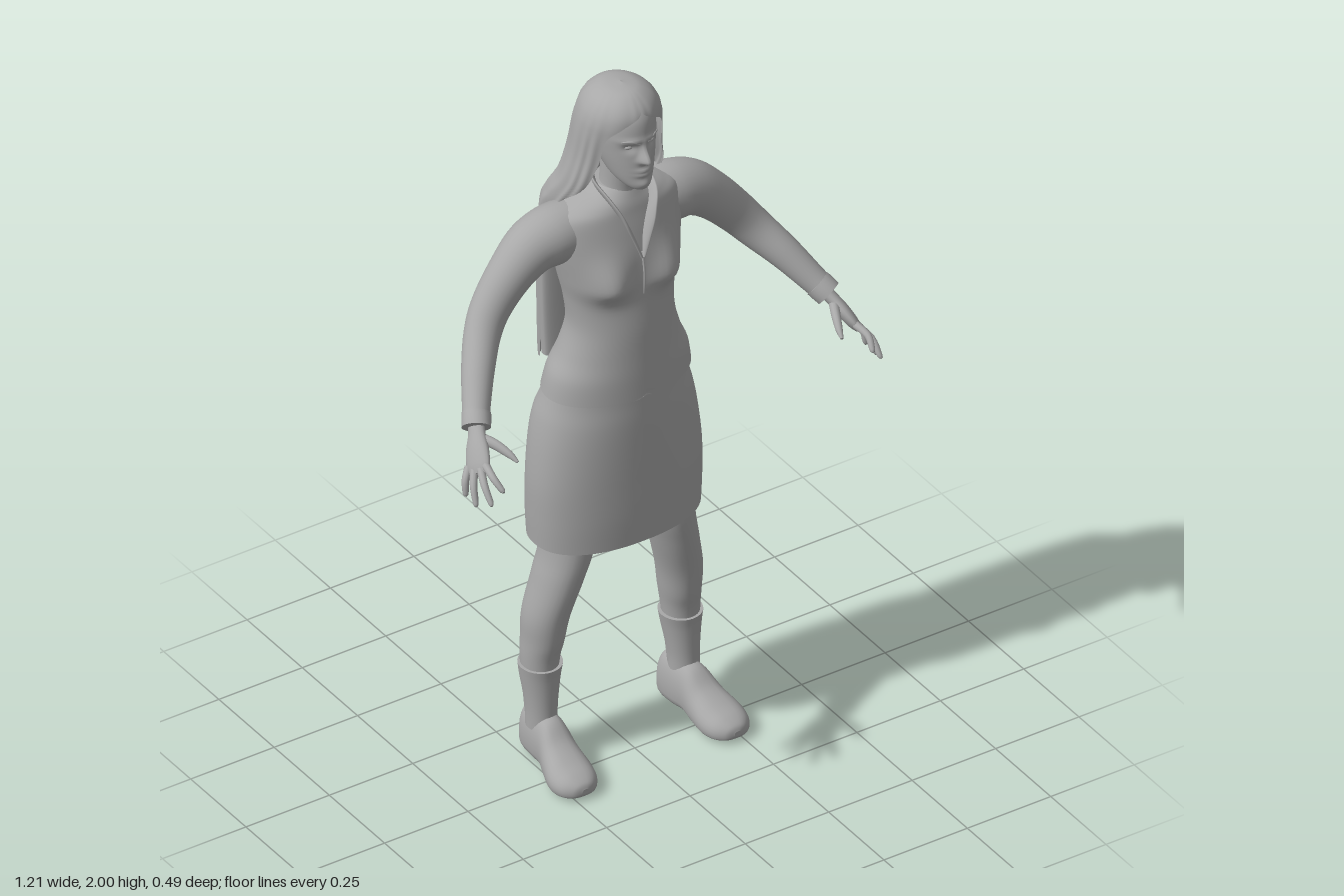
import * as THREE from 'three';

const V = (x, y, z) => new THREE.Vector3(x, y, z);
const clay = new THREE.MeshStandardMaterial({ color: 0xa8a8a8, side: THREE.DoubleSide });
clay.name = 'grey';

// Catmull-Rom interpolation of number rows, k steps per span
function smooth(rows, k = 6) {
  const out = [];
  const at = i => rows[Math.min(rows.length - 1, Math.max(0, i))];
  for (let i = 0; i < rows.length - 1; i++) {
    for (let s = 0; s < k; s++) {
      const t = s / k;
      out.push(rows[i].map((b, c) => {
        const a = at(i - 1)[c], d = at(i + 1)[c], e = at(i + 2)[c];
        return b + 0.5 * t * (d - a + t * (2 * a - 5 * b + 4 * d - e + t * (3 * (b - d) + e - a)));
      }));
    }
  }
  out.push(rows[rows.length - 1]);
  return out;
}

// Skin over rings of points; rings run counter-clockwise about the sweep direction
function skin(rings, closed = true, caps = closed) {
  const n = rings[0].length, pos = [], idx = [];
  rings.forEach(r => r.forEach(p => pos.push(p.x, p.y, p.z)));
  const span = closed ? n : n - 1;
  for (let i = 0; i < rings.length - 1; i++) {
    for (let j = 0; j < span; j++) {
      const a = i * n + j, b = i * n + (j + 1) % n;
      idx.push(a, b, b + n, a, b + n, a + n);
    }
  }
  if (caps) [rings[0], rings[rings.length - 1]].forEach((r, end) => {
    const base = pos.length / 3;
    const c = r.reduce((s, p) => s.add(p), V(0, 0, 0)).divideScalar(n);
    [...r, c].forEach(p => pos.push(p.x, p.y, p.z));
    for (let j = 0; j < n; j++) {
      const a = base + j, b = base + (j + 1) % n;
      end ? idx.push(base + n, a, b) : idx.push(base + n, b, a);
    }
  });
  const g = new THREE.BufferGeometry();
  g.setAttribute('position', new THREE.Float32BufferAttribute(pos, 3));
  g.setIndex(idx);
  g.computeVertexNormals();
  return g;
}

// Stacked horizontal sections, bottom to top:
// [y, halfWidth, zFront, zBack, centreX, squareness power, half sweep angle]
function stack(rows, { n = 40, k = 6, open = false, start = 0, rule } = {}) {
  const full = rows.map(([y, w, f, b, cx = 0, p = 1, A = Math.PI]) => [y, w, f, b, cx, p, A]);
  const bend = (v, p) => Math.sign(v) * Math.abs(v) ** p;
  return skin(smooth(full, k).map(([y, w, f, b, cx, p, A]) => {
    const ring = [];
    for (let j = 0; j < (open ? n + 1 : n); j++) {
      const th = start + (2 * j / n - 1) * A;
      const q = V(cx + w * bend(Math.sin(th), p), y, (f + b) / 2 + (f - b) / 2 * bend(Math.cos(th), p));
      if (rule) rule(q, th);
      ring.push(q);
    }
    return ring;
  }), !open);
}

// Elliptical sweep through [x, y, z, radiusAlongRef, otherRadius]
function sweep(pts, ref, n = 20, k = 5) {
  const rows = smooth(pts, k);
  const P = rows.map(r => V(r[0], r[1], r[2]));
  return skin(P.map((c, i) => {
    const t = P[Math.min(P.length - 1, i + 1)].clone().sub(P[Math.max(0, i - 1)]).normalize();
    const u = ref.clone().addScaledVector(t, -ref.dot(t)).normalize();
    const v = t.clone().cross(u);
    return Array.from({ length: n }, (_, j) => {
      const a = j / n * Math.PI * 2;
      return c.clone().addScaledVector(u, rows[i][3] * Math.cos(a)).addScaledVector(v, rows[i][4] * Math.sin(a));
    });
  }));
}

function mirrored(geo) {
  const g = geo.clone().scale(-1, 1, 1);
  const ix = g.index.array;
  for (let i = 0; i < ix.length; i += 3) [ix[i], ix[i + 1]] = [ix[i + 1], ix[i]];
  g.computeVertexNormals();
  return g;
}

export function createModel() {
  const model = new THREE.Group();
  const add = (name, geo) => {
    const m = new THREE.Mesh(geo, clay);
    m.name = name;
    model.add(m);
  };
  const pair = (name, geo) => {
    add(name + 'Left', geo);
    add(name + 'Right', mirrored(geo));
  };
  const bump = (d, s) => Math.exp(-d * d / (s * s));

  // Fitted jacket with bust
  add('jacket', stack([
    [1.1, .207, .052, -.225], [1.16, .195, .05, -.212], [1.22, .168, .047, -.195],
    [1.3, .147, .043, -.18], [1.38, .152, .035, -.185], [1.45, .166, .03, -.195],
    [1.52, .18, .025, -.2], [1.58, .187, .015, -.203], [1.63, .178, .004, -.195],
    [1.657, .135, -.002, -.18], [1.68, .085, -.01, -.16], [1.7, .056, -.018, -.14]
  ], { n: 64, rule: (q, th) => {
    if (Math.cos(th) > 0) {
      const below = q.y < 1.445;
      q.z += .036 * bump(Math.abs(q.x) - .09, .055) * bump(q.y - 1.445, below ? .04 : .075);
      if (q.y < 1.102) q.y += .012 * bump(q.x, .012);
    }
  } }));

  // Collar and lapels
  pair('collar', sweep([
    [0, 1.7, -.15, .022, .005], [.045, 1.705, -.125, .022, .005], [.066, 1.7, -.075, .022, .005],
    [.06, 1.675, -.015, .022, .005], [.04, 1.63, .012, .02, .005], [.018, 1.57, .027, .012, .004],
    [.003, 1.52, .038, .004, .003]
  ], V(.5, 1, .1), 12));
  add('jacketFrontSeam', sweep([
    [.004, 1.53, .028, .003, .003], [.004, 1.47, .038, .003, .003], [.002, 1.41, .039, .002, .002]
  ], V(1, 0, 0), 8));

  // Skirt, open below with a slit at the back
  const S = Math.PI;
  add('skirt', stack([
    [.66, .238, .045, -.238, 0, .88, S - .14], [.74, .242, .046, -.24, 0, .88, S - .07],
    [.84, .243, .044, -.238, 0, .9, S], [.94, .234, .042, -.243, 0, .92, S],
    [1.02, .22, .04, -.242, 0, .95, S], [1.08, .202, .037, -.225, 0, 1, S], [1.14, .185, .035, -.205, 0, 1, S]
  ], { n: 64, open: true }));

  // Legs and socks
  pair('leg', stack([
    [.1, .036, -.062, -.145, .213], [.28, .048, -.06, -.165, .211], [.36, .053, -.045, -.172, .205],
    [.44, .058, -.032, -.172, .198], [.55, .06, -.01, -.167, .172], [.66, .064, .005, -.166, .148],
    [.9, .085, .02, -.2, .12]
  ], { n: 28 }));
  pair('sock', stack([
    [.1, .039, -.055, -.147, .213], [.15, .04, -.058, -.146, .213], [.2, .045, -.058, -.155, .212],
    [.25, .052, -.056, -.166, .211], [.283, .057, -.052, -.17, .21]
  ], { n: 28 }));

  // Shoes: sections from heel to toe [z, centreX, halfWidth, bottom, top]
  const shoe = smooth([
    [-.172, .206, .012, .04, .09], [-.165, .206, .032, .012, .125], [-.14, .207, .042, .003, .142],
    [-.09, .21, .045, .004, .145], [-.045, .214, .047, .01, .138], [0, .22, .056, .005, .102],
    [.05, .226, .064, 0, .078], [.09, .228, .056, .002, .063], [.115, .228, .034, .009, .048],
    [.123, .228, .01, .02, .034]
  ]).map(([z, cx, w, b, t]) => Array.from({ length: 28 }, (_, j) => {
    const a = j / 28 * Math.PI * 2, s = Math.sin(a), h = b + (t - b) * .38;
    const flat = s < 0 ? -(Math.abs(s) ** .6) * (h - b) : s * (t - h);
    return V(cx + w * Math.sign(Math.cos(a)) * Math.abs(Math.cos(a)) ** .8, h + flat, z);
  }));
  pair('shoe', skin(shoe));

  // Sleeves and cuffs
  pair('sleeve', sweep([
    [.09, 1.585, -.105, .07, .07], [.17, 1.575, -.108, .077, .08], [.235, 1.558, -.11, .071, .073],
    [.3, 1.51, -.105, .06, .062], [.365, 1.44, -.095, .051, .055], [.41, 1.385, -.07, .046, .05],
    [.46, 1.325, -.015, .042, .043], [.505, 1.262, .045, .036, .036], [.525, 1.235, .073, .035, .034]
  ], V(0, 0, 1), 28));
  pair('cuff', sweep([
    [.511, 1.253, .055, .037, .037], [.52, 1.241, .068, .038, .037], [.528, 1.23, .08, .038, .036]
  ], V(0, 0, 1), 24, 2));

  // Hands
  const across = V(-.35, .42, .84).normalize();
  pair('palm', sweep([
    [.52, 1.238, .066, .024, .019], [.533, 1.218, .09, .025, .017], [.548, 1.19, .115, .035, .018],
    [.562, 1.163, .14, .037, .015], [.57, 1.148, .154, .03, .009]
  ], across, 20));
  const tips = [[.555, 1.137, .245], [.585, 1.102, .236], [.602, 1.08, .19], [.602, 1.084, .142]];
  tips.forEach((tip, f) => {
    const a = V(.564, 1.16, .14).addScaledVector(across, .028 - .019 * f);
    const b = V(...tip), m = a.clone().lerp(b, .5).add(V(.007, .008, .003));
    pair('finger' + (f + 1), sweep([
      [...a.toArray(), .011, .011], [...m.toArray(), .0095, .0095],
      [...a.clone().lerp(b, .9).toArray(), .0075, .0075], [...b.toArray(), .003, .003]
    ], across, 10, 4));
  });
  pair('thumb', sweep([
    [.53, 1.212, .1, .014, .013], [.51, 1.205, .14, .014, .012],
    [.494, 1.192, .178, .0105, .0095], [.486, 1.18, .204, .004, .004]
  ], V(0, 1, 0), 12));

  // Neck and head with sculpted face
  add('neck', stack([[1.64, .062, -.012, -.14], [1.7, .05, -.015, -.125], [1.78, .048, 0, -.12]], { n: 28 }));
  add('head', stack([
    [1.727, .012, .036, .0], [1.736, .032, .045, -.035], [1.76, .052, .046, -.09],
    [1.8, .067, .045, -.135], [1.84, .076, .042, -.155], [1.88, .08, .042, -.165],
    [1.93, .076, .033, -.16], [1.965, .055, .005, -.13], [1.982, .02, -.03, -.09]
  ], { n: 96, k: 9, rule: (q, th) => {
    if (Math.cos(th) < 0) return;
    const { x, y } = q, ax = Math.abs(x);
    q.z += .029 * bump(x, .006 + .008 * bump(y - 1.818, .022)) * bump(y - 1.823, y < 1.823 ? .011 : .034);
    q.z -= .01 * bump(ax - .031, .018) * bump(y - 1.858, .013);
    q.z += .006 * bump(ax - .03, .026) * bump(y - 1.879, .008);
    q.z += .007 * bump(x, .021) * (bump(y - 1.791, .0055) + bump(y - 1.778, .0055));
    q.z += .006 * bump(x, .022) * bump(y - 1.75, .012);
  } }));
  pair('eye', new THREE.SphereGeometry(.012, 16, 12).scale(1.15, .6, 1).translate(.031, 1.858, .016));
  pair('eyebrow', sweep([
    [.012, 1.871, .041, .003, .003], [.032, 1.881, .036, .004, .003], [.053, 1.879, .021, .002, .002]
  ], V(0, 1, 0), 8));

  // Long straight hair, open around the face and flat down the back
  add('hair', stack([
    [1.135, .148, -.178, -.232, 0, .6, 1.57], [1.2, .151, -.172, -.236, 0, .6, 1.6],
    [1.45, .155, -.15, -.245, 0, .6, 1.6], [1.6, .155, -.12, -.243, 0, .65, 1.65],
    [1.66, .15, -.06, -.232, 0, .75, 1.85], [1.72, .138, -.01, -.21, 0, .9, 2.15],
    [1.8, .121, .018, -.203, 0, 1, 2.25], [1.88, .112, .034, -.193, 0, 1, 2.3],
    [1.92, .105, .039, -.183, 0, 1, 2.62], [1.95, .093, .034, -.172, 0, 1, 3.08],
    [1.975, .073, .016, -.15, 0, 1, Math.PI], [1.993, .042, -.012, -.118, 0, 1, Math.PI],
    [2, .003, -.055, -.065, 0, 1, Math.PI]
  ], { n: 120, open: true, start: Math.PI, rule: (q, th) => {
    // strand ridges grow towards the tips
    const r = .0035 * Math.min(1, (2 - q.y) * 4) * Math.sin(th * 17 + 2 * Math.sin(th * 5));
    q.x += r * Math.sin(th) * .6;
    q.z += r * Math.cos(th);
  } }));
  // Inner layer giving the back hair its thickness
  add('hairUnderside', stack([
    [1.14, .142, -.178, -.226, 0, .6], [1.3, .148, -.18, -.232, 0, .6],
    [1.5, .15, -.178, -.236, 0, .6], [1.62, .146, -.16, -.226, 0, .7]
  ], { n: 40 }));

  return model;
}
